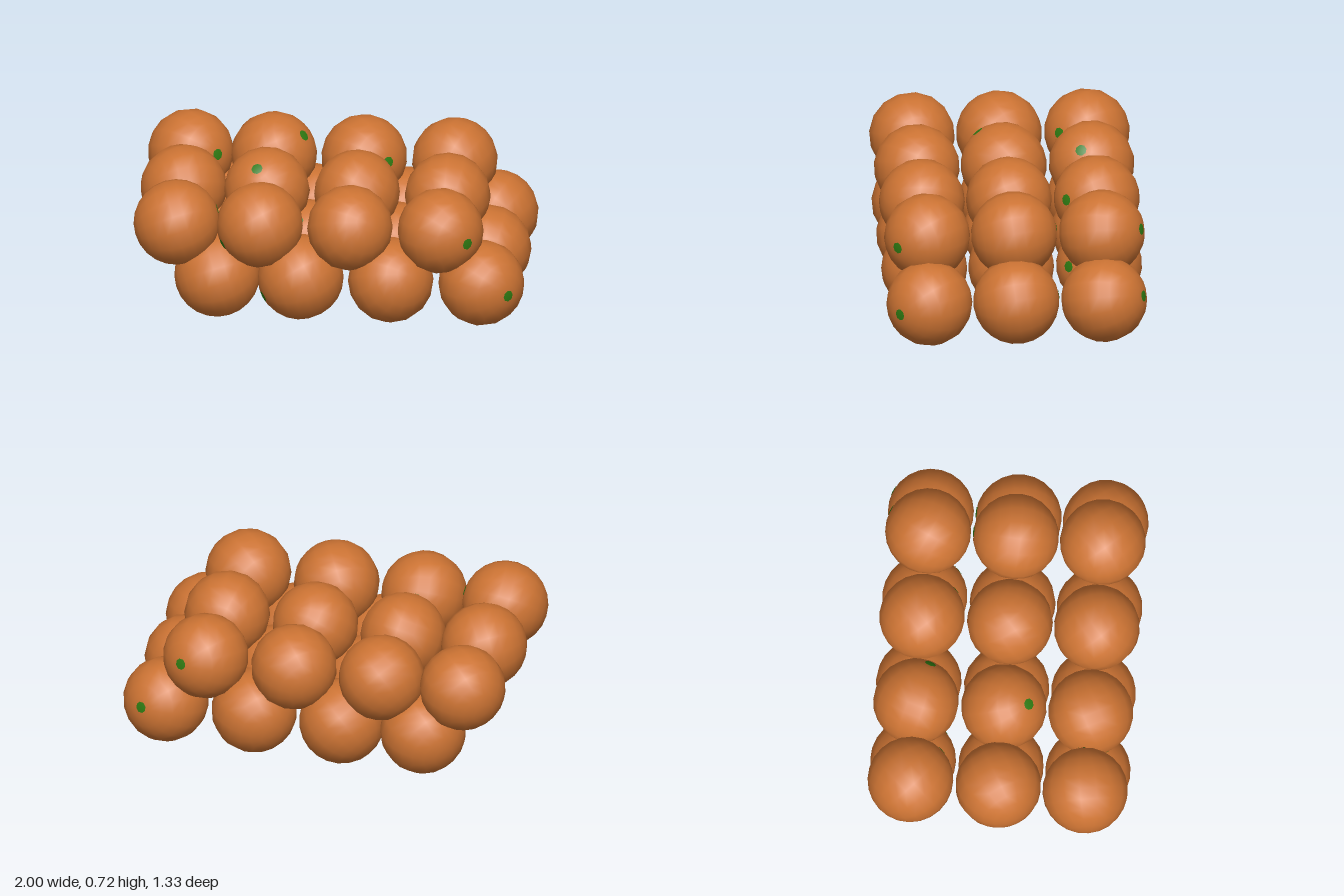
import * as THREE from 'three';

export function createModel() {
  const model = new THREE.Group();
  model.name = 'stackedOranges';

  const peel = new THREE.MeshStandardMaterial({ color: 0xcc7333 });
  peel.name = 'orangePeel';
  const green = new THREE.MeshStandardMaterial({ color: 0x2f7a12 });
  green.name = 'stemGreen';

  // Coarse smooth fruit, with a thin stem scar capping its pole
  const R = 0.22;
  const fruitGeometry = new THREE.SphereGeometry(R, 16, 12);
  const stemGeometry = new THREE.SphereGeometry(R + 0.001, 8, 2, 0, Math.PI * 2, 0, 0.135);

  // Fruit centres across the tray, and rows from front to back
  const columns = [-0.782, -0.355, 0.107, 0.572];
  const rows = [0.445, 0, -0.45];
  const rowNames = ['front', 'middle', 'back'];

  // Direction each stem points, by row and column; both layers repeat it
  const stems = [
    [[0.2, 0.06, -0.03], [-0.18, -0.075, 0.09], [-0.1, -0.1, -0.16], [0.14, 0, 0.148]],
    [[0.185, -0.03, -0.1], [-0.04, 0.17, 0.13], [-0.1, -0.15, 0.12], [0, 0.03, -0.21]],
    [[0.14, 0.05, 0.14], [0.15, 0.13, 0.06], [0.13, 0.045, 0.155], [0.08, 0.045, -0.19]],
  ];
  const up = new THREE.Vector3(0, 1, 0);

  function addOrange(name, x, y, z, direction) {
    const orange = new THREE.Group();
    orange.name = name;
    const fruit = new THREE.Mesh(fruitGeometry, peel);
    fruit.name = 'fruit';
    const stem = new THREE.Mesh(stemGeometry, green);
    stem.name = 'stem';
    orange.add(fruit, stem);
    orange.position.set(x, y, z);
    orange.quaternion.setFromUnitVectors(up, new THREE.Vector3(...direction).normalize());
    model.add(orange);
  }

  // Lower layer sits half a step to the left of the upper one
  const layers = [
    { name: 'lower', y: 0.225, shift: 0.209 },
    { name: 'upper', y: 0.508, shift: 0 },
  ];
  for (const layer of layers) {
    rows.forEach((z, r) => columns.forEach((x, c) => {
      addOrange(`${layer.name}Orange_${rowNames[r]}${c + 1}`, x + layer.shift, layer.y, z, stems[r][c]);
    }));
  }
  return model;
}
